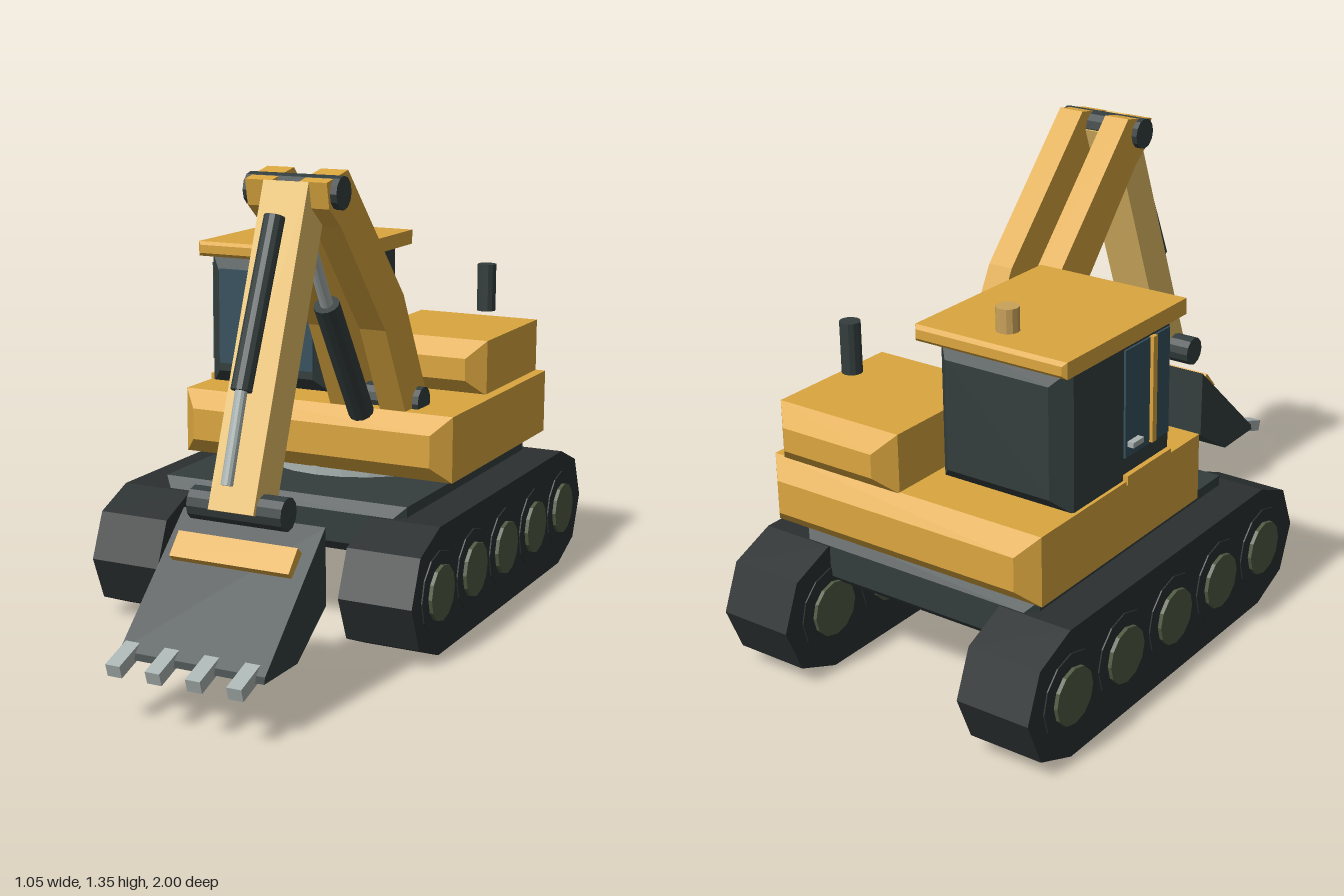
import * as THREE from 'three';

const mat = (color) => new THREE.MeshStandardMaterial({ color, flatShading: true });

export function createModel() {
  const root = new THREE.Group();
  const yellow = mat(0xdba63f), pale = mat(0xe8c06a), dark = mat(0x343d3d), rubber = mat(0x2b3030);
  const steel = mat(0xaab4b2), olive = mat(0x4f5a42), glass = mat(0x37515e), amber = mat(0xc9a25a);

  const add = (name, geometry, material, parent = root) => {
    const mesh = new THREE.Mesh(geometry, material);
    mesh.name = name;
    parent.add(mesh);
    return mesh;
  };

  // Block whose front and back ends are chamfered by b
  const block = (name, [x0, x1], [y0, y1], [z0, z1], b, material) => {
    const s = new THREE.Shape();
    s.moveTo(x0, y0).lineTo(x1, y0).lineTo(x1, y1).lineTo(x0, y1).closePath();
    const g = new THREE.ExtrudeGeometry(s, {
      depth: z1 - z0 - 2 * b, bevelEnabled: b > 0, bevelThickness: b, bevelSize: b, bevelOffset: -b, bevelSegments: 1,
    });
    return add(name, g.translate(0, 0, z0 + b), material);
  };

  // Side profile given as [z, y] points, extruded from x0 to x1
  const profile = (name, points, x0, x1, material, parent) => {
    const s = new THREE.Shape(points.map(([z, y]) => new THREE.Vector2(z, y)));
    const g = new THREE.ExtrudeGeometry(s, { depth: x1 - x0, bevelEnabled: false });
    return add(name, g.rotateY(-Math.PI / 2).translate(x1, 0, 0), material, parent);
  };

  // Cylinder between two points
  const rod = (name, a, b, r, material, sides = 12, parent = root) => {
    const p = new THREE.Vector3(...a), q = new THREE.Vector3(...b);
    const dir = q.clone().sub(p);
    const mesh = add(name, new THREE.CylinderGeometry(r, r, dir.length(), sides), material, parent);
    mesh.position.copy(p).add(q).multiplyScalar(0.5);
    mesh.quaternion.setFromUnitVectors(new THREE.Vector3(0, 1, 0), dir.normalize());
    return mesh;
  };

  // Crawler tracks with five wheels showing on both faces
  const trackOutline = [];
  for (const [zc, start] of [[0.152, -90], [-0.815, 90]]) {
    for (let i = 0; i <= 4; i++) {
      const a = THREE.MathUtils.degToRad(start + i * 45);
      trackOutline.push([zc + 0.185 * Math.cos(a), 0.185 + 0.185 * Math.sin(a)]);
    }
  }
  for (const side of [-1, 1]) {
    const track = new THREE.Group();
    track.name = side > 0 ? 'leftTrack' : 'rightTrack';
    root.add(track);
    const xc = side * 0.398;
    profile('trackBelt', trackOutline, xc - 0.11, xc + 0.11, rubber, track);
    for (let i = 0; i < 5; i++) {
      const z = 0.155 - i * 0.2425;
      rod('wheel', [xc - 0.114, 0.185, z], [xc + 0.114, 0.185, z], 0.12, rubber, 12, track);
      rod('hub', [xc - 0.125, 0.185, z], [xc + 0.125, 0.185, z], 0.08, olive, 12, track);
    }
  }

  // Undercarriage and slewing ring
  block('chassis', [-0.39, 0.39], [0.25, 0.4], [-0.81, 0.14], 0.03, dark);
  rod('turntable', [0, 0.39, -0.4], [0, 0.44, -0.4], 0.307, steel, 24);

  // Upper body
  block('house', [-0.44, 0.437], [0.425, 0.62], [-0.89, -0.045], 0.05, yellow);
  block('engineHood', [0.007, 0.405], [0.615, 0.782], [-0.89, -0.375], 0.05, yellow);
  rod('exhaust', [0.3, 0.83, -0.67], [0.3, 0.975, -0.67], 0.029, dark);

  // Cab
  block('cab', [-0.43, -0.02], [0.615, 1.012], [-0.73, -0.2], 0.045, dark);
  block('cabRoof', [-0.457, 0.01], [1.01, 1.055], [-0.76, -0.195], 0.01, yellow);
  block('windscreen', [-0.383, -0.063], [0.685, 0.975], [-0.21, -0.196], 0, glass);
  block('doorGlass', [-0.436, -0.425], [0.685, 0.985], [-0.46, -0.25], 0, glass);
  block('doorRail', [-0.446, -0.433], [0.69, 0.988], [-0.345, -0.325], 0, yellow);
  block('doorHandle', [-0.455, -0.43], [0.715, 0.73], [-0.45, -0.4], 0, steel);
  block('doorSill', [-0.445, -0.428], [0.61, 0.637], [-0.46, -0.25], 0, yellow);
  rod('beacon', [-0.21, 1.05, -0.655], [-0.21, 1.12, -0.655], 0.031, amber);

  // Boom: two bent side plates
  const boomOutline = [
    [-0.09, 0.622], [-0.255, 0.62], [-0.07, 0.965], [0.29, 1.348], [0.415, 1.325], [0.4, 1.255], [0.33, 1.2], [0.05, 0.88],
  ];
  for (const x of [0.05, 0.21]) profile('boomPlate', boomOutline, x, x + 0.08, yellow);

  // Stick
  profile('stick', [[0.415, 1.325], [0.305, 1.29], [0.607, 0.465], [0.72, 0.51]], 0.105, 0.238, pale);

  // Pivot pins
  for (const [name, y, z] of [['boomPivot', 0.635, -0.18], ['elbowPivot', 1.294, 0.353], ['bucketPivot', 0.508, 0.663]])
    rod(name, [0.033, y, z], [0.309, y, z], 0.045, dark);

  // Hydraulic rams
  const x = 0.172;
  rod('boomRamBarrel', [x, 0.618, -0.045], [x, 0.965, 0.18], 0.037, dark);
  rod('boomRamRod', [x, 0.95, 0.17], [x, 1.22, 0.325], 0.018, steel);
  rod('stickRamBarrel', [x, 1.24, 0.478], [x, 0.815, 0.66], 0.028, dark);
  rod('stickRamRod', [x, 0.83, 0.654], [x, 0.585, 0.738], 0.016, steel);

  // Bucket with wear plate and teeth
  profile('bucket', [[0.6, 0.468], [0.595, 0.257], [0.755, 0.152], [0.93, 0.155], [0.925, 0.172]], -0.038, 0.382, dark);
  const plate = add('bucketPlate', new THREE.BoxGeometry(0.35, 0.04, 0.075), yellow);
  plate.position.set(0.172, 0.39, 0.696);
  plate.rotation.x = 0.83;
  for (let i = 0; i < 4; i++) {
    const tooth = add('tooth', new THREE.BoxGeometry(0.042, 0.036, 0.12), steel);
    tooth.position.set(-0.012 + i * 0.116, 0.162, 0.937);
    tooth.rotation.x = 0.32;
  }
  return root;
}
